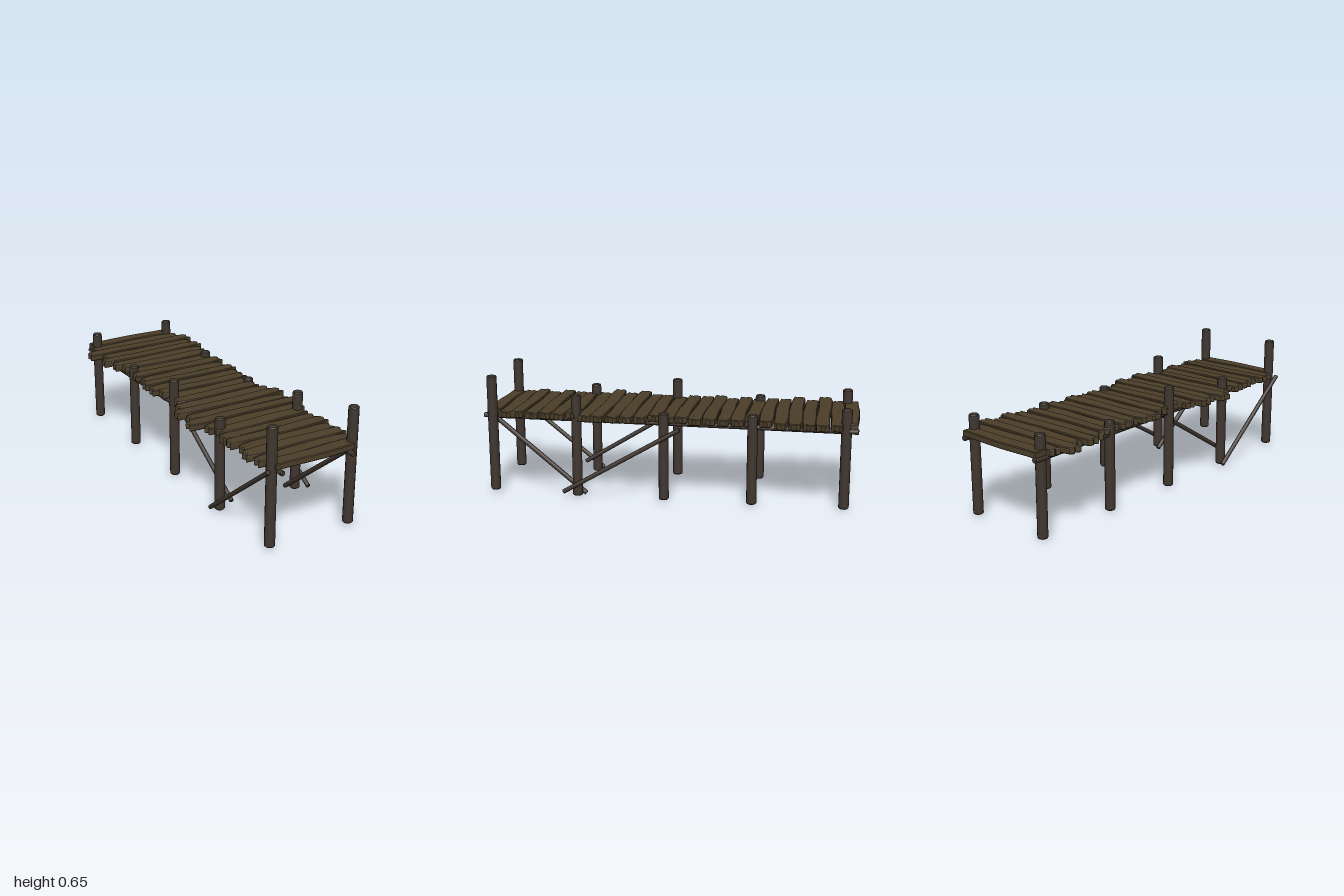
import * as THREE from 'three';

const deckMat = new THREE.MeshStandardMaterial({ color: 0x4c3f2a });
const postMat = new THREE.MeshStandardMaterial({ color: 0x40362f });

// small seeded generator for the weathered edges
let seed = 7;
const rand = () => {
  seed = (seed * 16807) % 2147483647;
  return seed / 2147483647 - 0.5;
};

// round timber with slightly chamfered ends, running from a to b
function log(name, a, b, r) {
  const start = new THREE.Vector3(...a), end = new THREE.Vector3(...b);
  const len = start.distanceTo(end), c = r * 0.2;
  const side = new THREE.CylinderGeometry(r, r, len - 2 * c, 14, 1, true);
  const cap = new THREE.CylinderGeometry(r * 0.82, r, c, 14);
  const group = new THREE.Group();
  group.name = name;
  const add = (geo, part, y, flip) => {
    const mesh = new THREE.Mesh(geo, postMat);
    mesh.name = part;
    mesh.position.y = y;
    if (flip) mesh.rotation.x = Math.PI;
    group.add(mesh);
  };
  add(side, name + 'Shaft', 0);
  add(cap, name + 'TopEnd', len / 2 - c / 2);
  add(cap, name + 'BottomEnd', -len / 2 + c / 2, true);
  group.position.copy(start).lerp(end, 0.5);
  group.quaternion.setFromUnitVectors(new THREE.Vector3(0, 1, 0), end.sub(start).normalize());
  return group;
}

// plank with wavy long edges and ragged ends
function plank(x0, x1, z, width, ragged) {
  const h = width / 2, n = 8, pts = [];
  const phase = rand() * 6;
  const wave = (t) => 0.004 * Math.sin(t * 7 + phase);
  for (let i = 0; i <= n; i++) {
    const t = i / n, taper = i === 0 || i === n ? 0.007 : 0;
    pts.push([x0 + (x1 - x0) * t, -h + wave(t) + taper * ragged]);
  }
  if (ragged) pts.push([x1 - 0.018, -0.012 + rand() * 0.01], [x1 - 0.004, 0.012]);
  for (let i = n; i >= 0; i--) {
    const t = i / n, taper = i === 0 || i === n ? 0.007 : 0;
    const inset = ragged && taper ? 0.016 * (i ? -1 : 1) : 0;
    pts.push([x0 + (x1 - x0) * t + inset, h + wave(t + 0.15) - taper * ragged]);
  }
  if (ragged) pts.push([x0 + 0.002, 0.008], [x0 + 0.016, -0.01 + rand() * 0.01]);
  const shape = new THREE.Shape(pts.map(([x, y]) => new THREE.Vector2(x, y)));
  const geo = new THREE.ExtrudeGeometry(shape, {
    depth: 0.026, bevelEnabled: true, bevelThickness: 0.004, bevelSize: 0.004,
    bevelOffset: -0.004, bevelSegments: 1,
  });
  geo.translate(0, 0, -0.013).rotateX(-Math.PI / 2);
  const mesh = new THREE.Mesh(geo, deckMat);
  mesh.name = 'plank';
  mesh.position.set(0, 0.447, z);
  return mesh;
}

export function createModel() {
  seed = 7;
  const model = new THREE.Group();
  model.name = 'pier';

  // deck: left and right end of each plank, from back to front
  const ends = [
    [-0.25, 0.265], [-0.28, 0.3], [-0.34, 0.335], [-0.28, 0.31], [-0.32, 0.33], [-0.285, 0.31],
    [-0.26, 0.29], [-0.25, 0.275], [-0.27, 0.3], [-0.255, 0.28], [-0.285, 0.3], [-0.28, 0.29],
    [-0.26, 0.28], [-0.24, 0.265], [-0.25, 0.265], [-0.28, 0.3], [-0.33, 0.33], [-0.3, 0.31],
    [-0.345, 0.335], [-0.28, 0.31], [-0.255, 0.28], [-0.28, 0.29], [-0.285, 0.305], [-0.26, 0.29],
    [-0.29, 0.3], [-0.27, 0.29], [-0.22, 0.24],
  ];
  const deck = new THREE.Group();
  deck.name = 'deck';
  ends.forEach(([x0, x1], i) => {
    const straight = i === 0 || i === ends.length - 1;
    const p = plank(x0, x1, -0.963 + i * 0.0732, 0.074, straight ? 0 : 1);
    p.position.y += (i % 2 ? -1 : 1) * 0.003;
    if (!straight) {
      p.rotation.x = rand() * 0.1;
      p.rotation.y = rand() * 0.025;
    }
    deck.add(p);
  });
  model.add(deck);

  // posts: z, height of the right one, height of the left one
  const posts = [
    [0.94, 0.65, 0.65], [0.48, 0.52, 0.563], [0.01, 0.565, 0.48],
    [-0.457, 0.49, 0.49], [-0.937, 0.54, 0.54],
  ];
  posts.forEach(([z, rightTop, leftTop], i) => {
    const foot = i === 0 ? 0.02 : 0.01;
    model.add(log('rightPost', [-0.222, foot, z], [-0.222, rightTop, z], 0.027));
    model.add(log('leftPost', [0.247, foot, z], [0.247, leftTop, z], 0.027));
  });

  // long beams under the deck
  model.add(log('rightBeam', [-0.197, 0.425, 1], [-0.243, 0.425, -1], 0.014));
  model.add(log('leftBeam', [0.212, 0.425, 1], [0.258, 0.425, -1], 0.014));

  // diagonal braces on both sides
  model.add(log('rightOuterBrace', [-0.26, 0.435, 0.97], [-0.26, 0.015, 0.45], 0.012));
  model.add(log('rightInnerBrace', [-0.186, 0.07, 0.54], [-0.186, 0.42, -0.03], 0.012));
  model.add(log('leftInnerBrace', [0.212, 0.42, 0.94], [0.212, 0.01, 0.44], 0.013));
  model.add(log('leftOuterBrace', [0.287, 0.035, 0.55], [0.287, 0.405, -0.08], 0.012));
  return model;
}
